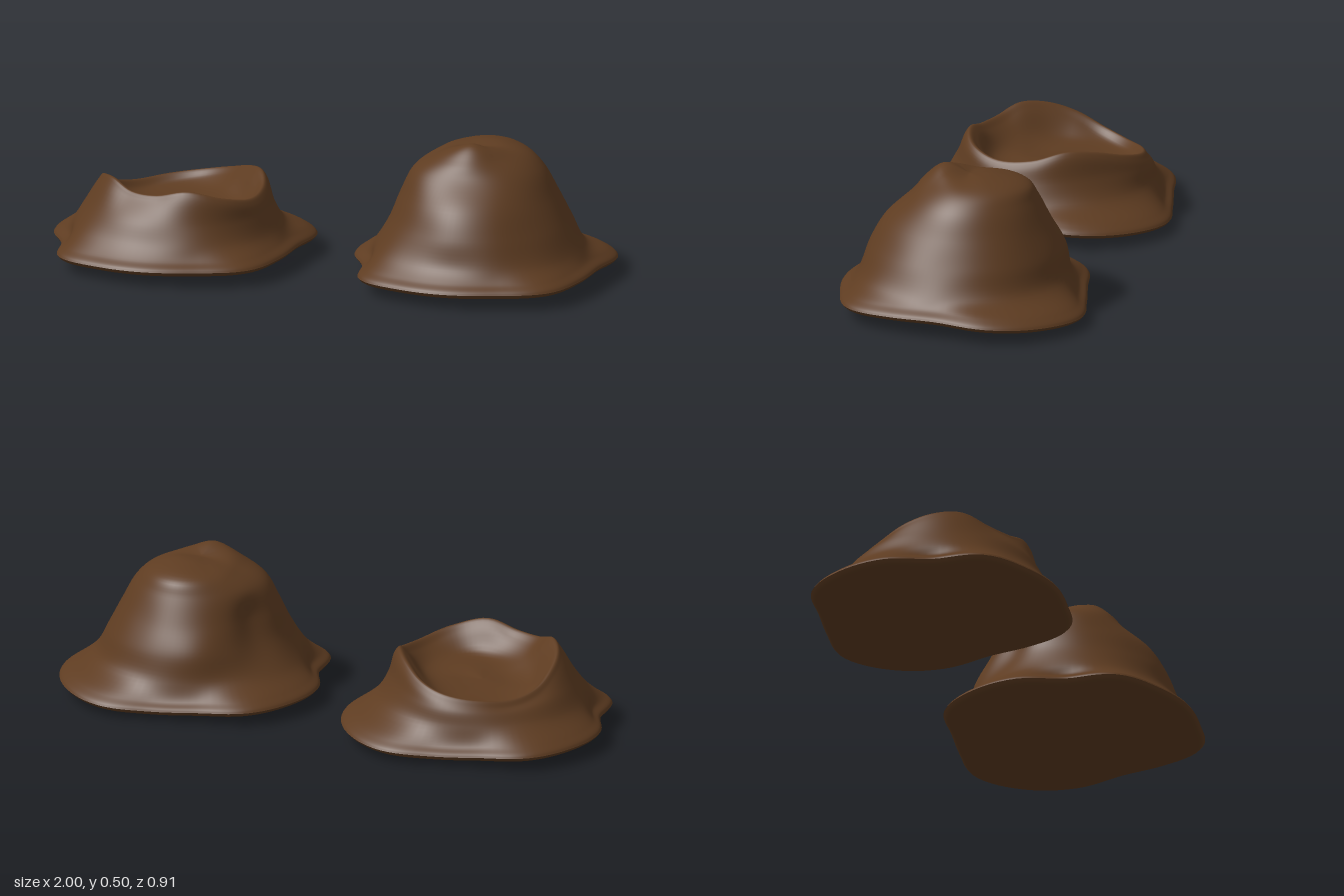
import * as THREE from 'three';
import { mergeVertices } from 'three/addons/utils/BufferGeometryUtils.js';

const SEGMENTS = 96;

// Smooth periodic lookup in a list of values spread evenly around the circle
function around(values, t) {
  if (typeof values === 'number') return values;
  const n = values.length, f = t * n, i = Math.floor(f), u = f - i;
  const [a, b, c, d] = [-1, 0, 1, 2].map((k) => values[(i + k + n) % n]);
  return b + 0.5 * u * (c - a + u * (2 * a - 5 * b + 4 * c - d + u * (3 * (b - c) + d - a)));
}

// Skin a surface over rings [radius, height], listed from the outside inward
// (facing up) or from the centre outward (facing down). Angles run from +x to +z.
function skin(rings, steps) {
  const positions = [], index = [];
  for (let i = 0; i < SEGMENTS; i++) {
    const t = i / SEGMENTS, a = t * Math.PI * 2;
    const path = new THREE.CatmullRomCurve3(rings.map(([r, y]) => {
      const radius = around(r, t);
      return new THREE.Vector3(radius * Math.cos(a), around(y, t), radius * Math.sin(a));
    }));
    for (const p of path.getPoints(steps)) positions.push(p.x, p.y, p.z);
  }
  const row = steps + 1;
  for (let i = 0; i < SEGMENTS; i++) {
    for (let j = 0; j < steps; j++) {
      const p = i * row + j, q = ((i + 1) % SEGMENTS) * row + j;
      index.push(p, p + 1, q, q, p + 1, q + 1);
    }
  }
  let geometry = new THREE.BufferGeometry();
  geometry.setAttribute('position', new THREE.Float32BufferAttribute(positions, 3));
  geometry.setIndex(index);
  geometry = mergeVertices(geometry, 1e-5);
  geometry.computeVertexNormals();
  return geometry;
}

// Wavy brim shared by both piles
const outline = [0.44, 0.455, 0.49, 0.455, 0.453, 0.458, 0.475, 0.41,
  0.45, 0.465, 0.467, 0.415, 0.425, 0.49, 0.505, 0.49];
const rimY = [0.066, 0.058, 0.055, 0.054, 0.055, 0.048, 0.035, 0.048];
const scale = (list, k) => list.map((v) => v * k);
const add = (list, k) => list.map((v) => v + k);

const skirt = [
  [outline, rimY],
  [scale(outline, 0.985), add(rimY, 0.01)],
  [scale(outline, 0.925), add(rimY, 0.03)],
  [[0.38, 0.385, 0.395, 0.39, 0.38, 0.38, 0.385, 0.365,
    0.365, 0.36, 0.355, 0.355, 0.36, 0.365, 0.37, 0.375], 0.13],
];

// Tall lumpy mound with a groove near its right rear
const moundRings = [
  ...skirt,
  [[0.328, 0.335, 0.34, 0.35, 0.35, 0.335, 0.325, 0.315,
    0.305, 0.285, 0.31, 0.335, 0.335, 0.33, 0.33, 0.328], 0.22],
  [[0.28, 0.28, 0.285, 0.295, 0.30, 0.29, 0.28, 0.275,
    0.27, 0.245, 0.27, 0.285, 0.29, 0.285, 0.285, 0.282], 0.31],
  [[0.228, 0.21, 0.205, 0.228, 0.225, 0.23, 0.245, 0.235], 0.40],
  [[0.17, 0.15, 0.165, 0.165, 0.14, 0.18, 0.215, 0.19], 0.45],
  [0.095, [0.475, 0.485, 0.503, 0.485, 0.467, 0.472, 0.481, 0.482]],
  [0, 0.476],
];

// Low pile with a hollow top and an uneven lip, lowest at the rear
const lip = [0.305, 0.325, 0.27, 0.255, 0.265, 0.285, 0.31, 0.285];
const lipY = [0.268, 0.257, 0.28, 0.308, 0.285, 0.285, 0.312, 0.302,
  0.27, 0.225, 0.205, 0.212, 0.228, 0.255, 0.285, 0.298];
const hollowRings = [
  ...skirt,
  [[0.345, 0.36, 0.34, 0.33, 0.322, 0.322, 0.345, 0.325],
    [0.195, 0.195, 0.20, 0.20, 0.195, 0.17, 0.18, 0.20]],
  [add(lip, 0.018), add(lipY, -0.02)],
  [lip, lipY],
  [add(lip, -0.03), add(lipY, -0.025)],
  [add(lip, -0.09), [0.20, 0.205, 0.21, 0.215, 0.195, 0.172, 0.182, 0.205]],
  [0.1, [0.187, 0.195, 0.19, 0.185, 0.18, 0.175, 0.178, 0.187]],
  [0, 0.185],
];

// Shallow dished underside with a thin rounded edge
const baseRings = [
  [0, 0],
  [scale(outline, 0.4), 0.011],
  [scale(outline, 0.75), scale(rimY, 0.48)],
  [scale(outline, 0.97), add(rimY, -0.014)],
  [outline, rimY],
];

export function createModel() {
  const mud = new THREE.MeshStandardMaterial({ color: 0x5e3c21 });
  mud.name = 'brown mud';
  const model = new THREE.Group();
  model.name = 'mudPiles';

  const pile = (name, x, rings) => {
    const group = new THREE.Group();
    group.name = name;
    group.position.x = x;
    const top = new THREE.Mesh(skin(rings, 56), mud);
    top.name = name + 'Top';
    const base = new THREE.Mesh(skin(baseRings, 16), mud);
    base.name = name + 'Underside';
    group.add(top, base);
    model.add(group);
  };

  pile('hollowPile', -0.545, hollowRings);
  pile('tallPile', 0.545, moundRings);
  return model;
}
